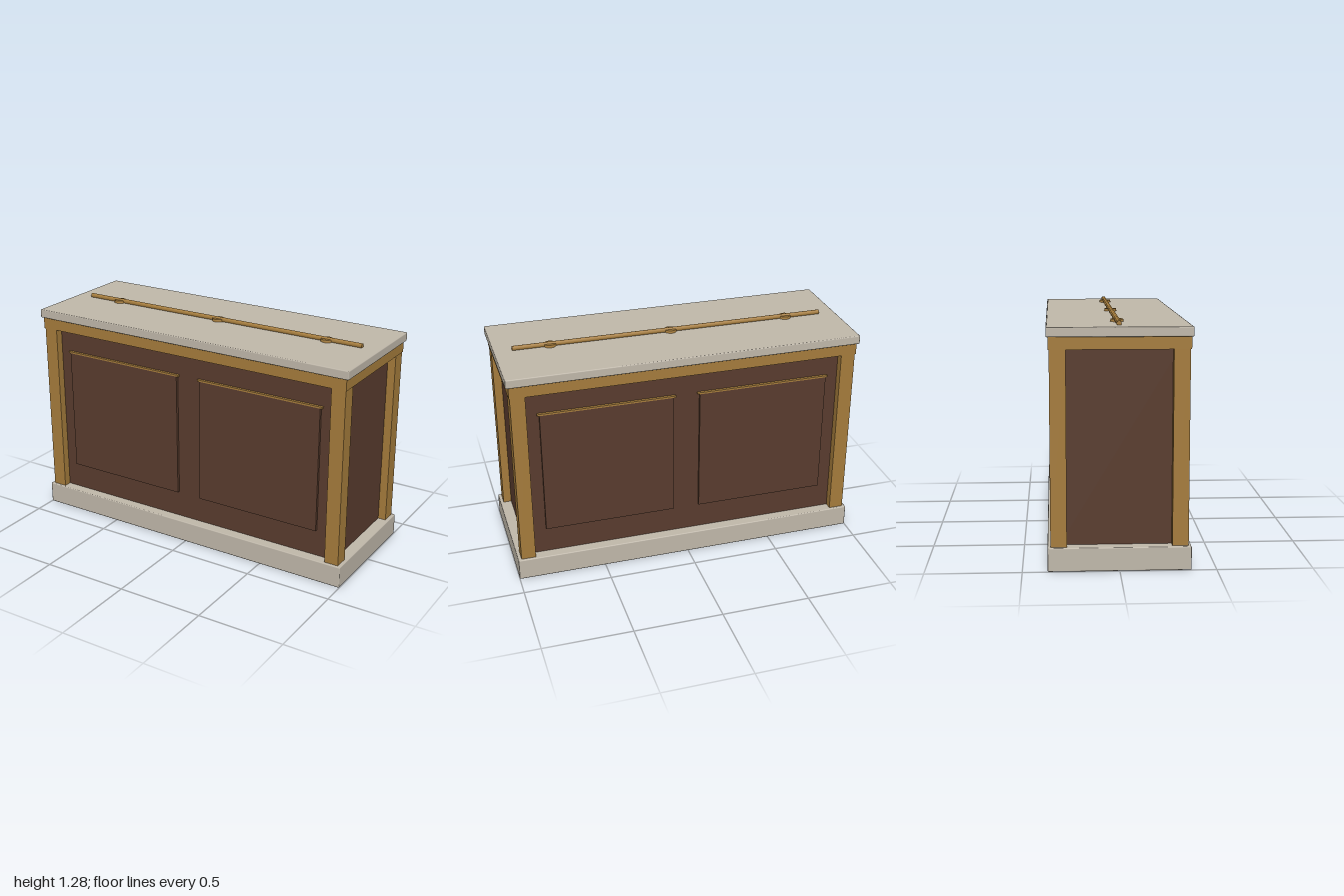
import * as THREE from 'three';
import { RoundedBoxGeometry } from 'three/addons/geometries/RoundedBoxGeometry.js';

const stone = new THREE.MeshStandardMaterial({ color: 0xc0b8aa });
const trimWood = new THREE.MeshStandardMaterial({ color: 0xa57c3c });
const darkWood = new THREE.MeshStandardMaterial({ color: 0x593c2e });

export function createModel() {
  const model = new THREE.Group();
  model.name = 'barCounter';

  const add = (name, geometry, material, x, y, z) => {
    const mesh = new THREE.Mesh(geometry, material);
    mesh.name = name;
    mesh.position.set(x, y, z);
    model.add(mesh);
    return mesh;
  };
  // Box centred on x and z, spanning y0 to y1; a bevel softens its edges
  const block = (name, material, w, d, y0, y1, x = 0, z = 0, bevel = 0) => {
    const h = y1 - y0;
    const geometry = bevel
      ? new RoundedBoxGeometry(w, h, d, 1, bevel)
      : new THREE.BoxGeometry(w, h, d);
    return add(name, geometry, material, x, (y0 + y1) / 2, z);
  };

  // Stone plinth, timber carcass, frieze and stone top
  block('plinth', stone, 2, 0.74, 0, 0.125, 0, 0, 0.006);
  block('carcass', darkWood, 1.87, 0.62, 0.12, 1.15);
  block('frieze', trimWood, 1.97, 0.72, 1.14, 1.205);
  block('counterTop', stone, 2, 0.74, 1.204, 1.254, 0, 0, 0.006);

  for (const sx of [-1, 1]) {
    for (const sz of [-1, 1]) {
      // Corner posts
      block('cornerPost', trimWood, 0.082, 0.084, 0.122, 1.145, sx * 0.94, sz * 0.313);
      // Raised panels, each with a thin strip along its top edge
      block('raisedPanel', darkWood, 0.75, 0.03, 0.28, 1.0, sx * 0.45, sz * 0.311);
      block('panelStrip', trimWood, 0.775, 0.03, 1.0, 1.01, sx * 0.45, sz * 0.311);
    }
  }

  // Slim rail on round mounts along the top
  const rail = add('topRail', new THREE.CylinderGeometry(0.014, 0.014, 1.8, 8), trimWood, 0, 1.263, 0);
  rail.rotation.z = Math.PI / 2;
  for (const x of [-0.69, 0, 0.69]) {
    add('railMount', new THREE.CylinderGeometry(0.033, 0.036, 0.016, 16), trimWood, x, 1.26, 0);
  }

  return model;
}
